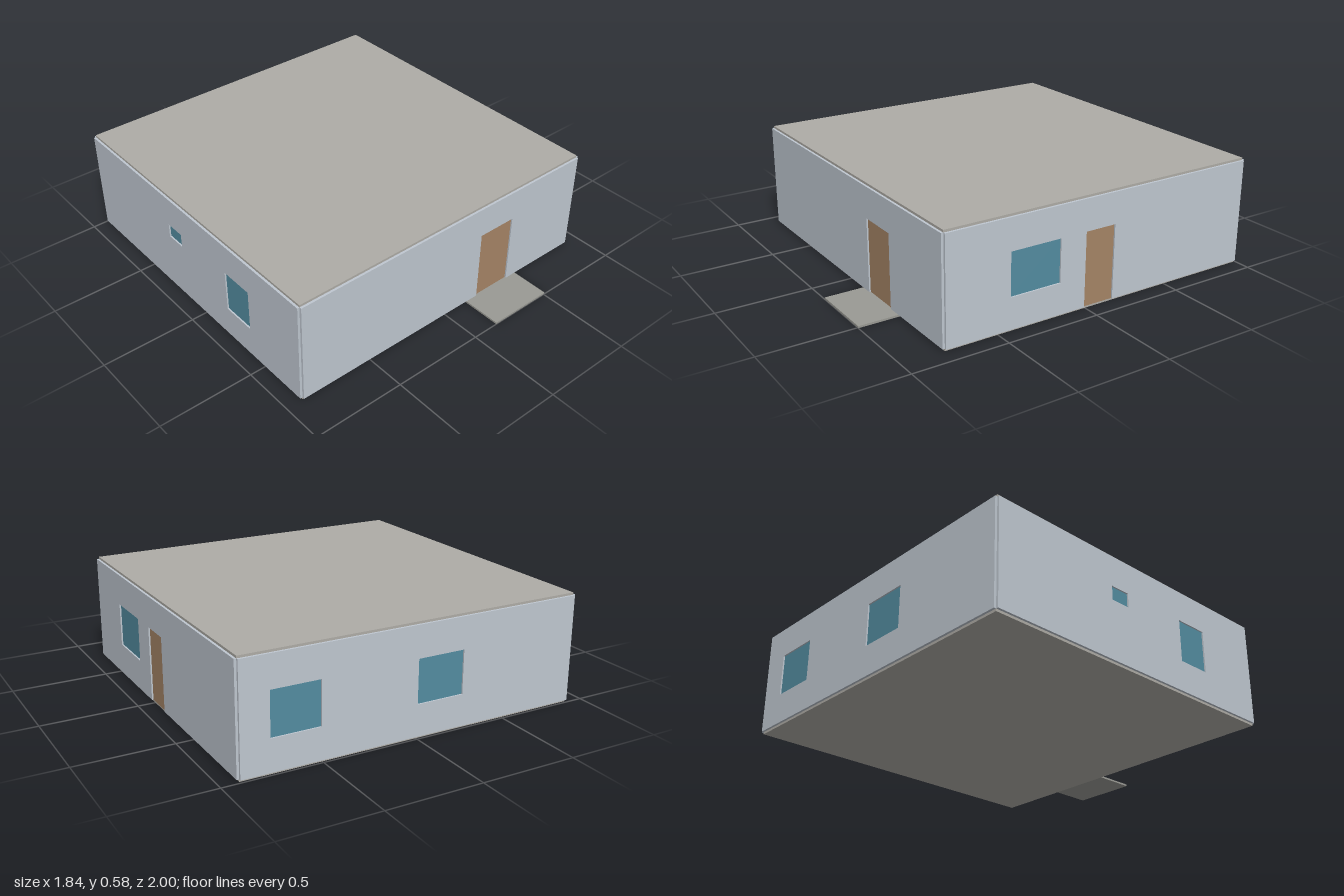
import * as THREE from 'three';

const material = (color) => new THREE.MeshStandardMaterial({ color, flatShading: true });
const wallMat = material(0xbfc7d0);
const roofMat = material(0xaeaca6);
const stepMat = material(0x9a9a94);
const doorMat = material(0xa58466);
const glassMat = material(0x538ca0);

// Plan extents of the slabs; walls are centred on the slab edges
const HALF_X = 0.908, FRONT_Z = 0.78, BACK_Z = -0.988;
const FLOOR = 0.012, CEILING = 0.564, TOP = 0.576;
const THICK = 0.024, PANEL = 0.008;
const SILL = 0.175, HEAD = 0.4;

function box(name, mat, x0, x1, y0, y1, z0, z1) {
  const mesh = new THREE.Mesh(new THREE.BoxGeometry(x1 - x0, y1 - y0, z1 - z0), mat);
  mesh.position.set((x0 + x1) / 2, (y0 + y1) / 2, (z0 + z1) / 2);
  mesh.name = name;
  return mesh;
}

// Wall running from u0 to u1 with outside towards local +z.
// Openings are { from, to, sill }; without a sill they are doors.
function wall(name, u0, u1, openings) {
  const group = new THREE.Group();
  group.name = name;
  const shape = new THREE.Shape().moveTo(u0, FLOOR);
  const doors = openings.filter((o) => o.sill === undefined).sort((a, b) => a.from - b.from);
  for (const d of doors) {
    shape.lineTo(d.from, FLOOR).lineTo(d.from, HEAD).lineTo(d.to, HEAD).lineTo(d.to, FLOOR);
  }
  shape.lineTo(u1, FLOOR).lineTo(u1, CEILING).lineTo(u0, CEILING).closePath();
  for (const o of openings) {
    const isDoor = o.sill === undefined;
    if (!isDoor) {
      shape.holes.push(new THREE.Path().moveTo(o.from, o.sill).lineTo(o.from, HEAD)
        .lineTo(o.to, HEAD).lineTo(o.to, o.sill).closePath());
    }
    group.add(box(isDoor ? 'door' : 'windowPane', isDoor ? doorMat : glassMat,
      o.from, o.to, isDoor ? FLOOR : o.sill, HEAD, -PANEL / 2, PANEL / 2));
  }
  const geometry = new THREE.ExtrudeGeometry(shape, { depth: THICK, bevelEnabled: false });
  geometry.translate(0, 0, -THICK / 2);
  const panel = new THREE.Mesh(geometry, wallMat);
  panel.name = name + 'Panel';
  group.add(panel);
  return group;
}

export function createModel() {
  const house = new THREE.Group();
  house.name = 'house';

  // Floor slab, flat roof and entrance step
  house.add(box('floorSlab', roofMat, -HALF_X, HALF_X, 0, FLOOR, BACK_Z, FRONT_Z));
  house.add(box('roof', roofMat, -HALF_X, HALF_X, CEILING, TOP, BACK_Z, FRONT_Z));
  house.add(box('entranceStep', stepMat, 0.147, 0.505, 0, 0.01, FRONT_Z, 1));

  // Front wall with the main door
  const front = wall('frontWall', -HALF_X, HALF_X, [{ from: 0.215, to: 0.435 }]);
  front.position.z = FRONT_Z;

  // Back wall with two windows (local u runs along -x)
  const back = wall('backWall', -HALF_X, HALF_X, [
    { from: -0.762, to: -0.51, sill: SILL },
    { from: -0.003, to: 0.25, sill: SILL },
  ]);
  back.rotation.y = Math.PI;
  back.position.z = BACK_Z;

  // Side wall on +x with a window and a side door (local u runs along -z)
  const left = wall('leftWall', -FRONT_Z, -BACK_Z, [
    { from: -0.438, to: -0.16, sill: SILL },
    { from: -0.014, to: 0.157 },
  ]);
  left.rotation.y = Math.PI / 2;
  left.position.x = HALF_X;

  // Side wall on -x with a small high window and a larger one (local u runs along +z)
  const right = wall('rightWall', BACK_Z, FRONT_Z, [
    { from: -0.277, to: -0.166, sill: 0.326 },
    { from: 0.214, to: 0.4, sill: SILL },
  ]);
  right.rotation.y = -Math.PI / 2;
  right.position.x = -HALF_X;

  house.add(front, back, left, right);
  return house;
}
